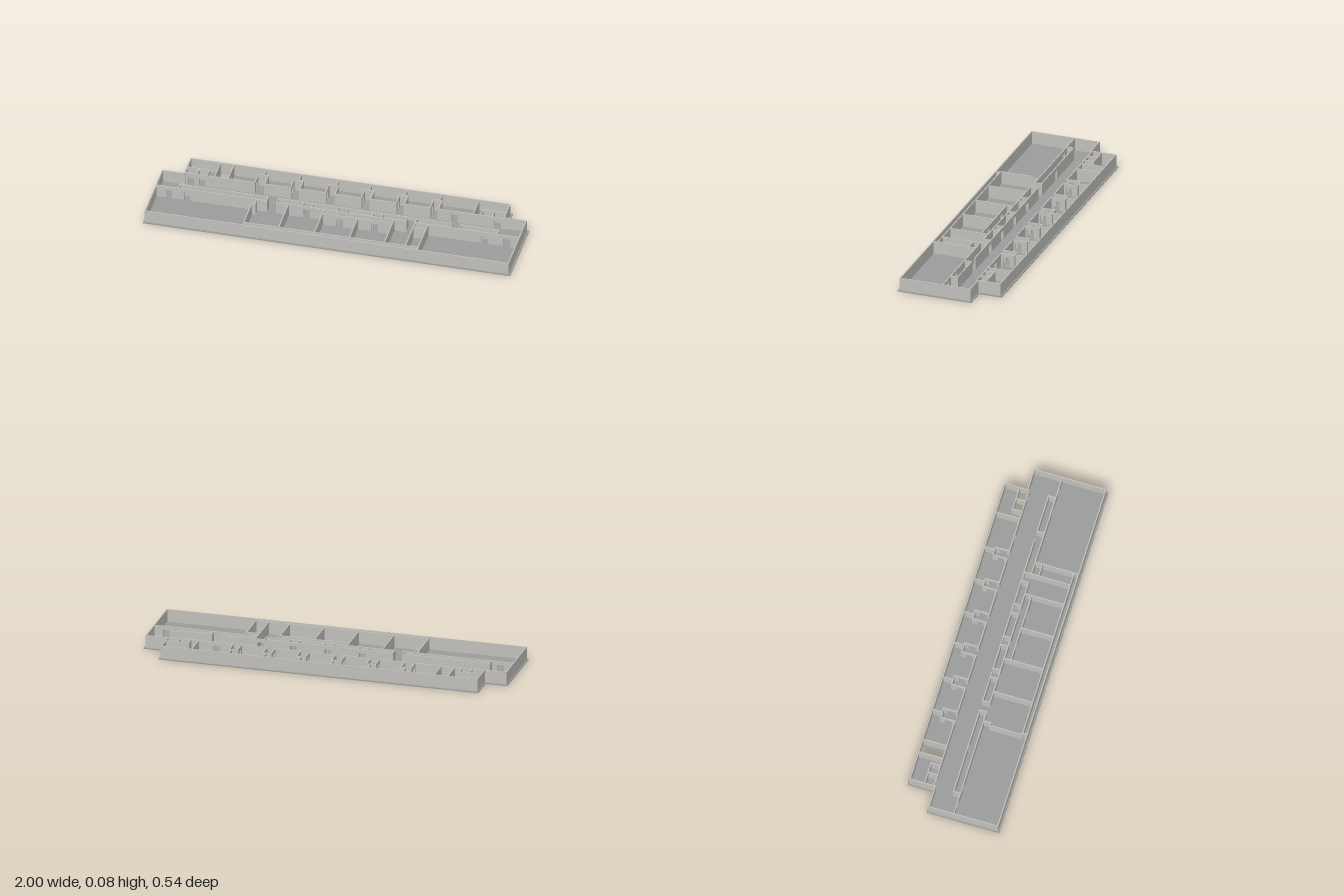
import * as THREE from 'three';

const FLOOR = 0.005, TOP = 0.075, DOOR_TOP = 0.055, T = 0.006, DOOR_W = 0.035;

export function createModel() {
  const model = new THREE.Group();
  const wallMat = new THREE.MeshStandardMaterial({ color: 0xc0bfba });
  wallMat.name = 'warm grey plaster';
  const slabMat = new THREE.MeshStandardMaterial({ color: 0x999c9a });
  slabMat.name = 'grey floor';

  // Floor slab with two shaft openings; plan points are [x, z]
  const plan = (pts) => pts.map(([x, z]) => new THREE.Vector2(x, -z));
  const rect = (x1, z1, x2, z2) => plan([[x1, z1], [x2, z1], [x2, z2], [x1, z2]]);
  const outline = new THREE.Shape(plan([
    [-1, 0.272], [1, 0.272], [1, -0.145], [0.88, -0.145],
    [0.88, -0.272], [-0.88, -0.272], [-0.88, -0.13], [-1, -0.13]]));
  outline.holes.push(new THREE.Path(rect(-0.705, -0.263, -0.655, -0.13)));
  outline.holes.push(new THREE.Path(rect(0.745, -0.178, 0.8, -0.13)));
  const slabGeo = new THREE.ExtrudeGeometry(outline, { depth: FLOOR, bevelEnabled: false });
  slabGeo.rotateX(-Math.PI / 2);
  const slab = new THREE.Mesh(slabGeo, slabMat);
  slab.name = 'floorSlab';
  model.add(slab);

  const group = (name) => {
    const g = new THREE.Group();
    g.name = name;
    model.add(g);
    return g;
  };

  // Straight wall along x or z, with door openings centred at the given coordinates
  function wall(parent, x1, z1, x2, z2, doors = []) {
    const alongX = Math.abs(x2 - x1) > Math.abs(z2 - z1);
    const a = (alongX ? Math.min(x1, x2) : Math.min(z1, z2)) - T / 2;
    const b = (alongX ? Math.max(x1, x2) : Math.max(z1, z2)) + T / 2;
    const piece = (from, to, y0, name) => {
      const len = to - from, mid = (from + to) / 2, h = TOP - y0;
      const mesh = new THREE.Mesh(
        new THREE.BoxGeometry(alongX ? len : T, h, alongX ? T : len), wallMat);
      mesh.position.set(alongX ? mid : x1, y0 + h / 2, alongX ? z1 : mid);
      mesh.name = name;
      parent.add(mesh);
    };
    let start = a;
    for (const d of doors) {
      piece(start, d - DOOR_W / 2, FLOOR, 'wall');
      piece(d - DOOR_W / 2, d + DOOR_W / 2, DOOR_TOP, 'lintel');
      start = d + DOOR_W / 2;
    }
    piece(start, b, FLOOR, 'wall');
  }

  // Outer walls, following the stepped outline
  const outer = group('outerWalls');
  const ring = [[-0.99, 0.26], [0.987, 0.26], [0.987, -0.135], [0.867, -0.135],
    [0.867, -0.26], [-0.87, -0.26], [-0.87, -0.12], [-0.99, -0.12]];
  ring.forEach(([x, z], i) => {
    const [x2, z2] = ring[(i + 1) % ring.length];
    wall(outer, x, z, x2, z2);
  });

  // Back rooms: corridor wall with an entry niche at each dividing wall
  const back = group('backRooms');
  const niches = [[-0.49, -0.435, -0.46], [-0.295, -0.245, -0.268], [-0.105, -0.053, -0.065],
    [0.09, 0.14, 0.115], [0.28, 0.325, 0.308], [0.465, 0.51, 0.497]];
  const zc = -0.128, zn = -0.205;
  let x = -0.635;
  for (const [l, r, divider] of niches) {
    wall(back, x, zc, l, zc);
    wall(back, l, zc, l, zn, [-0.16]);
    wall(back, r, zc, r, zn, [-0.16]);
    wall(back, l, zn, r, zn);
    wall(back, divider, zn, divider, -0.26);
    x = r;
  }
  wall(back, x, zc, 0.867, zc, [0.6, 0.835]);
  wall(back, 0.7, zc, 0.7, -0.26);

  // Shafts and small rooms at both back ends
  const service = group('serviceRooms');
  wall(service, -0.87, zc, -0.635, zc, [-0.835, -0.775]);
  wall(service, -0.635, zc, -0.635, -0.26);
  wall(service, -0.709, zc, -0.709, -0.26);
  wall(service, -0.87, -0.18, -0.75, -0.18);
  wall(service, -0.805, -0.18, -0.805, zc);
  wall(service, -0.75, -0.18, -0.75, zc);
  wall(service, 0.742, -0.18, 0.867, -0.18);
  wall(service, 0.742, -0.18, 0.742, zc);
  wall(service, 0.803, -0.18, 0.803, zc);

  // Central double wall with small ducts and door openings
  const centre = group('centralWalls');
  const openings = [-0.17, 0.02, 0.21];
  wall(centre, -0.99, 0.018, -0.39, 0.018, [-0.92, -0.82]);
  wall(centre, -0.87, -0.02, -0.39, -0.02, [-0.6]);
  wall(centre, -0.87, -0.02, -0.87, 0.018);
  wall(centre, -0.335, -0.02, 0.61, -0.02, [...openings, 0.39]);
  wall(centre, -0.335, 0.02, 0.37, 0.02, openings);
  wall(centre, 0.42, 0.02, 0.987, 0.02, [0.8, 0.92]);
  wall(centre, 0.66, -0.02, 0.867, -0.02);
  for (const px of [-0.39, -0.335, -0.195, -0.145, -0.005, 0.045, 0.185, 0.235, 0.37, 0.42, 0.66, 0.867])
    wall(centre, px, -0.02, px, 0.02);

  // Front rooms behind the long front wall
  const front = group('frontRooms');
  wall(front, -0.46, 0.235, 0.49, 0.235);
  wall(front, -0.46, 0.057, -0.46, 0.235);
  wall(front, -0.46, 0.057, -0.443, 0.057);
  wall(front, -0.443, 0.02, -0.443, 0.057);
  wall(front, -0.45, 0.235, -0.45, 0.26);
  wall(front, -0.27, 0.02, -0.27, 0.235);
  wall(front, -0.075, 0.02, -0.075, 0.235);
  wall(front, 0.115, 0.057, 0.115, 0.235);
  wall(front, 0.305, 0.02, 0.305, 0.235);
  wall(front, -0.075, 0.057, 0.305, 0.057, [0.02, 0.21]);
  wall(front, 0.42, 0.02, 0.42, 0.235);
  wall(front, 0.42, 0.06, 0.49, 0.06);
  wall(front, 0.49, 0.02, 0.49, 0.26);

  return model;
}
